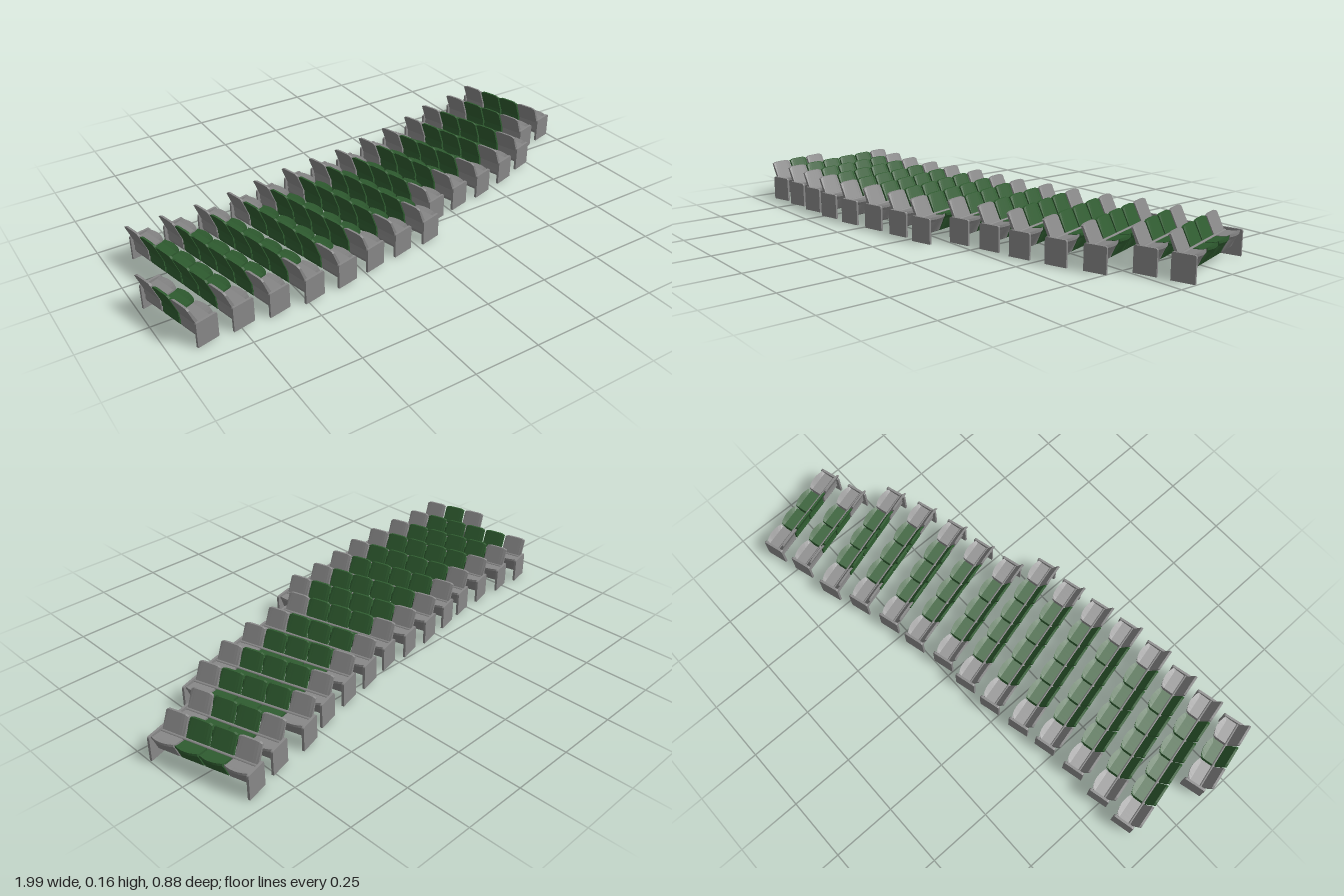
import * as THREE from 'three';

const grey = new THREE.MeshStandardMaterial({ color: 0x888888 });
grey.name = 'grey plastic';
const green = new THREE.MeshStandardMaterial({ color: 0x2f5c30 });
green.name = 'green plastic';

const PITCH = 0.0955, WIDTH = 0.088;

// Extrudes a side profile (x forward, y up) across the seat width, then bends it by a rule.
function across(points, width, steps, bend) {
  const shape = new THREE.Shape(points.map(([x, y]) => new THREE.Vector2(x, y)));
  let g = new THREE.ExtrudeGeometry(shape, { depth: width, steps, bevelEnabled: false });
  g.translate(0, 0, -width / 2);
  const p = g.attributes.position;
  for (let i = 0; i < p.count; i++) {
    const t = p.getZ(i) / (width / 2);
    const [x, y] = bend(p.getX(i), p.getY(i), t);
    p.setXY(i, x, y);
  }
  g.computeVertexNormals();
  return g;
}

// Wedge-shaped seat pan with a bowed front lip
const cushionGeo = across(
  [[0.051, 0.096], [0.051, 0.087], [0.044, 0.076], [0.014, 0.03], [0.004, 0.024], [-0.018, 0.026], [-0.024, 0.04], [-0.018, 0.084], [0.03, 0.09]],
  WIDTH, 6, (x, y, t) => [x > 0.03 ? x - 0.01 * t * t : x, y]);

// Reclined back with softened top corners
const backGeo = across(
  [[-0.053, 0.155], [-0.045, 0.155], [-0.012, 0.08], [-0.012, 0.06], [-0.025, 0.06], [-0.025, 0.08]],
  WIDTH, 8, (x, y, t) => [x, y > 0.15 ? y - 0.006 * Math.pow(t, 6) : y]);

// Upright end panel with clipped top corners
const panelShape = new THREE.Shape();
panelShape.moveTo(-0.035, 0);
panelShape.lineTo(0.05, 0);
panelShape.lineTo(0.05, 0.088);
panelShape.quadraticCurveTo(0.05, 0.096, 0.043, 0.096);
panelShape.lineTo(-0.028, 0.096);
panelShape.quadraticCurveTo(-0.035, 0.096, -0.035, 0.088);
const panelGeo = new THREE.ExtrudeGeometry(panelShape, { depth: 0.009, bevelEnabled: false, curveSegments: 3 });
panelGeo.translate(0, 0, -0.0045);

// Each row: x and z of its rearmost seat, seat count, turn in degrees
const rows = [
  [-0.935, 0.185, 3, 14], [-0.86, -0.104, 6, 12.5], [-0.732, -0.104, 6, 13],
  [-0.598, -0.104, 6, 13], [-0.46, -0.118, 6, 13], [-0.337, -0.142, 6, 14],
  [-0.203, -0.166, 6, 14], [-0.075, -0.178, 6, 14.5], [0.048, -0.184, 5, 14.5],
  [0.182, -0.216, 5, 14.5], [0.31, -0.238, 5, 15.5], [0.449, -0.275, 5, 16],
  [0.577, -0.323, 5, 17], [0.727, -0.345, 4, 16], [0.855, -0.382, 4, 16],
];

function add(parent, name, geo, mat, z) {
  const m = new THREE.Mesh(geo, mat);
  m.name = name;
  m.position.z = z;
  parent.add(m);
  return m;
}

function makeRow(count) {
  const row = new THREE.Group();
  row.name = 'seatRow';
  for (let i = 0; i < count; i++) {
    const mat = i === 0 || i === count - 1 ? grey : green;
    const seat = new THREE.Group();
    seat.name = 'seat';
    seat.position.z = i * PITCH;
    add(seat, 'seatCushion', cushionGeo, mat, 0);
    add(seat, 'seatBack', backGeo, mat, 0);
    row.add(seat);
  }
  // Hinge rail joining the seats, and a panel at each end
  const length = count * PITCH;
  const middle = (count - 1) * PITCH / 2;
  const rail = add(row, 'hingeRail', new THREE.CylinderGeometry(0.006, 0.006, length, 8), grey, middle);
  rail.rotation.x = Math.PI / 2;
  rail.position.set(-0.014, 0.084, middle);
  for (const side of [-1, 1]) {
    add(row, 'endPanel', panelGeo, grey, middle + side * (length / 2 + 0.002));
  }
  return row;
}

export function createModel() {
  const model = new THREE.Group();
  model.name = 'seatingBlock';
  for (const [x, z, count, turn] of rows) {
    const row = makeRow(count);
    row.position.set(x, 0, z);
    row.rotation.y = THREE.MathUtils.degToRad(turn);
    model.add(row);
  }
  return model;
}
